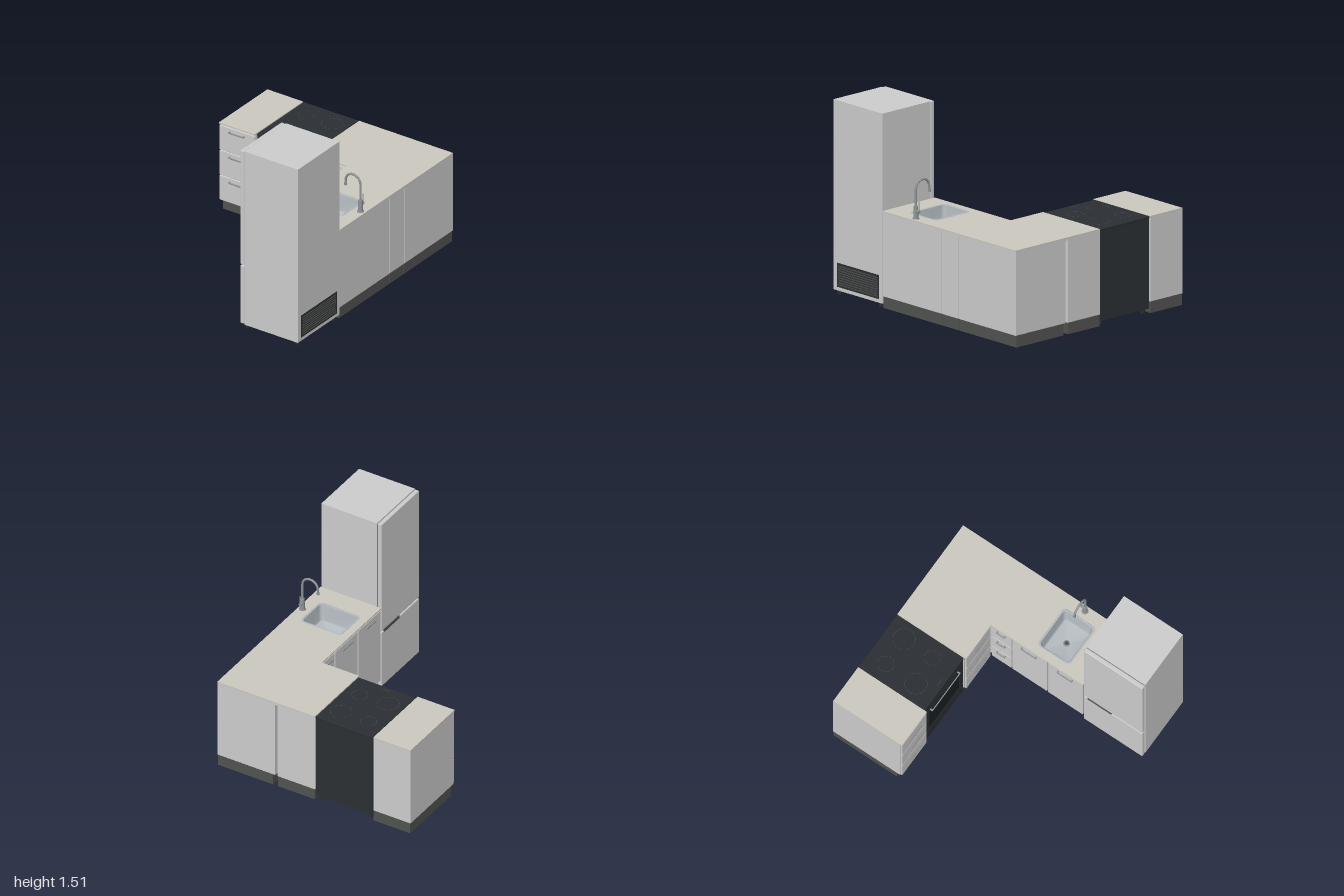
import * as THREE from 'three';
import { RoundedBoxGeometry } from 'three/addons/geometries/RoundedBoxGeometry.js';

const mat = (color, side = THREE.FrontSide) => new THREE.MeshStandardMaterial({ color, side });
const grey = mat(0xcccccc);
const stone = mat(0xcbc8be);
const plinthMat = mat(0x505250);
const black = mat(0x2b2f33);
const glass = mat(0x1c2024);
const steel = mat(0x8f9496);
const basinMat = mat(0xb4bbc0, THREE.DoubleSide);

function add(parent, name, geometry, material, x = 0, y = 0, z = 0) {
  const m = new THREE.Mesh(geometry, material);
  m.name = name;
  m.position.set(x, y, z);
  parent.add(m);
  return m;
}

// box given by its extents, with rounded edges when r > 0
function box(parent, name, material, [x0, x1], [y0, y1], [z0, z1], r = 0) {
  const s = [x1 - x0, y1 - y0, z1 - z0];
  const g = r ? new RoundedBoxGeometry(...s, 2, r) : new THREE.BoxGeometry(...s);
  return add(parent, name, g, material, (x0 + x1) / 2, (y0 + y1) / 2, (z0 + z1) / 2);
}

function group(parent, name) {
  const g = new THREE.Group();
  g.name = name;
  parent.add(g);
  return g;
}

function feet(parent, xs, zs, h) {
  for (const x of xs) for (const z of zs)
    add(parent, 'foot', new THREE.CylinderGeometry(0.018, 0.018, h, 16), black, x, h / 2, z);
}

// bar handle facing -z, fixed on the plane z = 0
function handle(parent, w, y, depth = 0.02) {
  const h = group(parent, 'handle');
  box(h, 'handleBar', steel, [-w / 2, w / 2], [y - 0.006, y + 0.006], [-depth, -depth + 0.008], 0.003);
  for (const s of [-1, 1]) {
    const x = s * (w / 2 - 0.006);
    box(h, 'handlePost', steel, [x - 0.006, x + 0.006], [y - 0.005, y + 0.005], [-depth + 0.004, 0.001]);
  }
}

// stack of equal drawer or door fronts facing -z, outer face on z = 0
function fronts(parent, name, w, count, handleW) {
  const g = group(parent, name);
  const y0 = 0.095, step = (0.738 - y0) / count;
  for (let i = 0; i < count; i++) {
    const f = group(g, name + (i + 1));
    f.position.y = y0 + step * i;
    box(f, 'panel', grey, [-w / 2 + 0.003, w / 2 - 0.003], [0.003, step - 0.003], [0, 0.016], 0.004);
    handle(f, handleW, step - 0.035);
  }
  return g;
}

function roundedRect(hw, hd, r, n = 6) {
  const pts = [];
  for (let q = 0; q < 4; q++) {
    const cx = (q === 0 || q === 3 ? 1 : -1) * (hw - r), cz = (q < 2 ? 1 : -1) * (hd - r);
    for (let i = 0; i <= n; i++) {
      const a = (q + i / n) * Math.PI / 2;
      pts.push([cx + r * Math.cos(a), cz + r * Math.sin(a)]);
    }
  }
  return pts;
}

// surface through rounded-rectangle sections [halfWidth, halfDepth, radius, y]
function loft(sections) {
  const pos = [], idx = [];
  const n = roundedRect(1, 1, 0.1).length;
  sections.forEach(([hw, hd, r, y], k) => {
    for (const [x, z] of roundedRect(hw, hd, r)) pos.push(x, y, z);
    if (k) for (let i = 0; i < n; i++) {
      const j = (i + 1) % n, a = (k - 1) * n, b = k * n;
      idx.push(a + i, a + j, b + i, a + j, b + j, b + i);
    }
  });
  const g = new THREE.BufferGeometry();
  g.setAttribute('position', new THREE.Float32BufferAttribute(pos, 3));
  g.setIndex(idx);
  g.computeVertexNormals();
  return g;
}

function buildFridge(root) {
  const g = group(root, 'fridge');
  box(g, 'fridgeBody', grey, [-1, -0.465], [0.032, 1.51], [0.358, 0.848]);
  box(g, 'doorSeal', plinthMat, [-0.99, -0.475], [0.05, 1.495], [0.35, 0.36]);
  box(g, 'upperDoor', grey, [-1, -0.465], [0.537, 1.508], [0.318, 0.354], 0.008);
  box(g, 'lowerDoor', grey, [-1, -0.465], [0.035, 0.528], [0.318, 0.354], 0.008);
  box(g, 'gripRecess', plinthMat, [-0.72, -0.5], [0.512, 0.54], [0.316, 0.345], 0.003);
  feet(g, [-0.96, -0.505], [0.36, 0.82], 0.035);
  // rear vent
  box(g, 'ventBack', black, [-0.962, -0.5], [0.06, 0.247], [0.84, 0.85]);
  for (let i = 0; i < 9; i++) {
    const s = box(g, 'ventSlat', plinthMat, [-0.945, -0.517], [0.074 + i * 0.018, 0.084 + i * 0.018], [0.849, 0.853]);
    s.rotation.x = 0.35;
  }
}

function buildSinkRun(root) {
  const g = group(root, 'sinkRun');
  // worktop with an opening for the basin
  const s = new THREE.Shape([[-0.46, -0.85], [1, -0.85], [1, -0.318], [-0.46, -0.318]].map(p => new THREE.Vector2(...p)));
  s.holes.push(new THREE.Path(roundedRect(0.137, 0.172, 0.03).map(([x, z]) => new THREE.Vector2(x - 0.14, z - 0.565))));
  const top = add(g, 'worktop', new THREE.ExtrudeGeometry(s, { depth: 0.012, bevelEnabled: false }), stone, 0, 0.743, 0);
  top.rotation.x = -Math.PI / 2;

  // hollow sink cabinet, drawer cabinet and corner cabinet
  const y = [0.092, 0.731], z = [0.34, 0.848];
  box(g, 'sinkCabinetBack', grey, [-0.46, 0.186], y, [0.834, 0.848]);
  box(g, 'sinkCabinetSide', grey, [-0.46, -0.446], y, z);
  box(g, 'sinkCabinetSide', grey, [0.172, 0.186], y, z);
  box(g, 'sinkCabinetFloor', grey, [-0.446, 0.172], [0.092, 0.106], z);
  box(g, 'drawerCabinet', grey, [0.191, 0.372], y, z);
  box(g, 'cornerCabinet', grey, [0.376, 1], y, z);
  box(g, 'rearRail', grey, [-0.46, 1], [0.731, 0.743], [0.82, 0.848]);
  box(g, 'frontRail', grey, [-0.46, 1], [0.731, 0.743], [0.336, 0.36]);
  box(g, 'sideRail', grey, [0.97, 1], [0.731, 0.743], [0.32, 0.848]);
  for (const [a, b] of [[-0.46, 0.186], [0.19, 0.372], [0.376, 1]])
    box(g, 'plinth', plinthMat, [a, b], [0, 0.093], [0.36, 0.842]);

  for (const [name, x, w, n, hw] of [['door', -0.299, 0.322, 1, 0.14], ['door', 0.027, 0.322, 1, 0.14], ['drawer', 0.281, 0.184, 3, 0.08]])
    fronts(g, name, w, n, hw).position.set(x, 0, 0.32);

  // basin with rim, sloping floor and drain
  const sink = group(g, 'sink');
  sink.position.set(-0.14, 0, 0.565);
  add(sink, 'basin', loft([
    [0.146, 0.181, 0.035, 0.755], [0.144, 0.179, 0.034, 0.76], [0.134, 0.169, 0.03, 0.76], [0.13, 0.165, 0.03, 0.754],
    [0.122, 0.157, 0.03, 0.63], [0.112, 0.147, 0.026, 0.615], [0.02, 0.02, 0.015, 0.603],
  ]), basinMat);
  add(sink, 'drain', new THREE.CylinderGeometry(0.026, 0.026, 0.006, 24), steel, 0, 0.606, 0);
  add(sink, 'drainPlug', new THREE.CylinderGeometry(0.016, 0.016, 0.006, 20), plinthMat, 0, 0.609, 0);

  // tap with swan neck and side lever
  const tap = group(g, 'tap');
  tap.position.set(-0.138, 0.755, 0.81);
  add(tap, 'tapBase', new THREE.CylinderGeometry(0.025, 0.026, 0.008, 24), steel, 0, 0.004, 0);
  add(tap, 'tapBody', new THREE.CylinderGeometry(0.017, 0.019, 0.095, 24), steel, 0, 0.05, 0);
  const pts = [new THREE.Vector3(0, 0.09, 0), new THREE.Vector3(0, 0.16, 0)];
  for (let i = 0; i <= 10; i++) {
    const a = Math.PI * i / 10;
    pts.push(new THREE.Vector3(0, 0.227 + 0.068 * Math.sin(a), -0.068 + 0.068 * Math.cos(a)));
  }
  pts.push(new THREE.Vector3(0, 0.19, -0.137));
  add(tap, 'tapNeck', new THREE.TubeGeometry(new THREE.CatmullRomCurve3(pts), 60, 0.009, 14), steel);
  add(tap, 'tapNozzle', new THREE.CylinderGeometry(0.011, 0.011, 0.02, 20), steel, 0, 0.195, -0.137);
  add(tap, 'leverHub', new THREE.CylinderGeometry(0.012, 0.012, 0.03, 20), steel, 0.022, 0.06, 0).rotation.z = Math.PI / 2;
  add(tap, 'lever', new THREE.CylinderGeometry(0.004, 0.005, 0.085, 12), steel, 0.033, 0.095, 0);
}

function buildDrawerUnit(root, name, z0, z1) {
  const g = group(root, name);
  box(g, 'carcass', grey, [0.393, 1], [0.09, 0.743], [z0, z1]);
  box(g, 'worktop', stone, [0.375, 1], [0.743, 0.755], [z0, z1]);
  box(g, 'plinth', plinthMat, [0.42, 1], [0, 0.09], [z0 + 0.003, z1 - 0.003]);
  const f = fronts(g, 'drawer', z1 - z0, 3, 0.14);
  f.rotation.y = Math.PI / 2;
  f.position.set(0.375, 0, (z0 + z1) / 2);
}

function buildCooker(root) {
  const g = group(root, 'cooker');
  const z = [-0.518, -0.013], zi = [-0.514, -0.017];
  box(g, 'cookerBody', black, [0.412, 0.998], [0.038, 0.738], zi);
  box(g, 'cooktop', black, [0.393, 1], [0.736, 0.756], z, 0.007);
  box(g, 'controlPanel', black, [0.398, 0.414], [0.652, 0.734], zi, 0.003);
  box(g, 'ovenDoor', black, [0.398, 0.414], [0.2, 0.646], zi, 0.004);
  box(g, 'ovenWindow', glass, [0.396, 0.4], [0.25, 0.55], [-0.46, -0.07]);
  box(g, 'lowerDrawer', black, [0.398, 0.414], [0.045, 0.194], zi, 0.004);
  const h = group(g, 'ovenHandle');
  h.rotation.y = Math.PI / 2;
  h.position.set(0.398, 0, -0.267);
  handle(h, 0.37, 0.61, 0.025);
  feet(g, [0.45, 0.96], [-0.48, -0.045], 0.04);
  // ring marks and control line on the cooktop
  for (const [x, zc, r] of [[0.57, -0.385, 0.085], [0.845, -0.385, 0.063], [0.585, -0.145, 0.063], [0.845, -0.145, 0.085]])
    add(g, 'burnerRing', new THREE.RingGeometry(r - 0.002, r, 48), plinthMat, x, 0.7568, zc).rotation.x = -Math.PI / 2;
  box(g, 'controlLine', plinthMat, [0.43, 0.433], [0.755, 0.757], [-0.31, -0.24]);
}

export function createModel() {
  const root = new THREE.Group();
  root.name = 'kitchen';
  buildFridge(root);
  buildSinkRun(root);
  buildDrawerUnit(root, 'innerDrawerUnit', -0.009, 0.318);
  buildDrawerUnit(root, 'outerDrawerUnit', -0.85, -0.523);
  buildCooker(root);
  return root;
}
